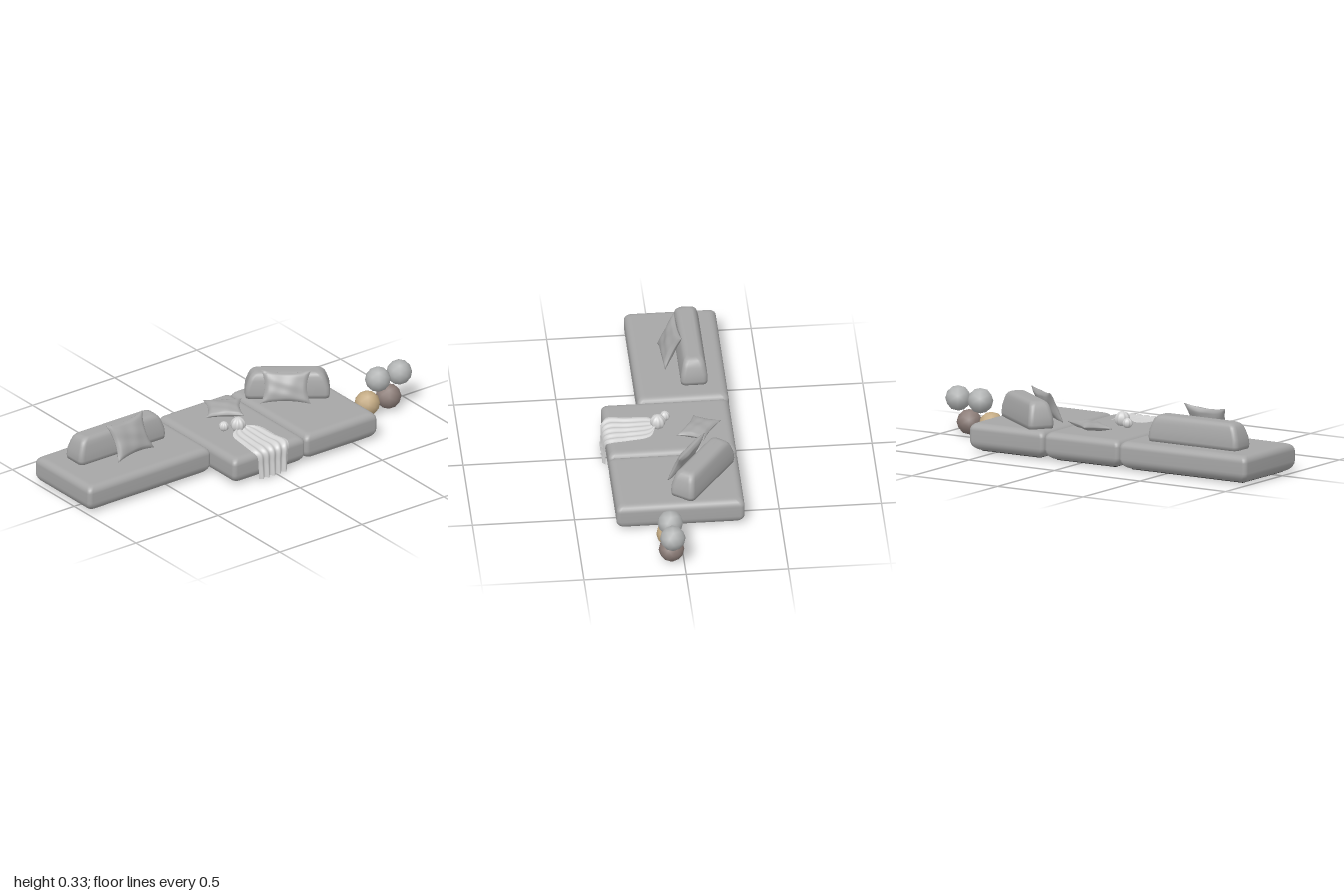
import * as THREE from 'three';
import { mergeVertices } from 'three/addons/utils/BufferGeometryUtils.js';

const mat = (name, color, side = THREE.FrontSide) => {
  const m = new THREE.MeshStandardMaterial({ color, side });
  m.name = name;
  return m;
};

// Stack of rounded rectangles; each profile row is [y, x inset, z inset]
function cushionGeometry(hw, hd, radius, profile) {
  const seg = 6, n = 4 * (seg + 1), pos = [], idx = [];
  for (const [y, ix, iz] of profile) {
    for (let c = 0; c < 4; c++) {
      const sx = c === 0 || c === 3 ? 1 : -1, sz = c < 2 ? 1 : -1;
      for (let k = 0; k <= seg; k++) {
        const a = (c + k / seg) * Math.PI / 2;
        pos.push(sx * (hw - ix - radius) + radius * Math.cos(a), y,
          sz * (hd - iz - radius) + radius * Math.sin(a));
      }
    }
  }
  const rows = profile.length;
  for (let j = 0; j < rows - 1; j++) {
    for (let i = 0; i < n; i++) {
      const a = j * n + i, b = j * n + (i + 1) % n;
      idx.push(a, a + n, b, b, a + n, b + n);
    }
  }
  pos.push(0, profile[0][0], 0, 0, profile[rows - 1][0], 0);
  const top = (rows - 1) * n;
  for (let i = 0; i < n; i++) {
    const k = (i + 1) % n;
    idx.push(rows * n, i, k, rows * n + 1, top + k, top + i);
  }
  const g = new THREE.BufferGeometry();
  g.setAttribute('position', new THREE.Float32BufferAttribute(pos, 3));
  g.setIndex(idx);
  g.computeVertexNormals();
  return g;
}

// Rounded side profile of a seat block
function seatProfile(y0, y1, rBottom, rTop) {
  const rows = [[y0, rBottom + 0.012, rBottom + 0.012]];
  for (const [cy, r, start] of [[y0 + rBottom, rBottom, -Math.PI / 2], [y1 - rTop, rTop, 0]]) {
    for (let k = 0; k <= 6; k++) {
      const a = start + k / 6 * Math.PI / 2, inset = r * (1 - Math.cos(a));
      rows.push([cy + r * Math.sin(a), inset, inset]);
    }
  }
  rows.push([y1, rTop + 0.012, rTop + 0.012]);
  return rows;
}

// Square pillow with pinched corners and soft creases
function pillowGeometry(hw, hh, thick) {
  const n = 18;
  const g = new THREE.BoxGeometry(2, 2, 2, n, n, 1);
  g.deleteAttribute('normal');
  g.deleteAttribute('uv');
  const p = g.attributes.position;
  for (let i = 0; i < p.count; i++) {
    const u = p.getX(i), v = p.getY(i), s = Math.sign(p.getZ(i));
    const puff = Math.sqrt(Math.max(0, (1 - u * u) * (1 - v * v)));
    const crease = 1 + 0.14 * Math.sin(5 * u + 3 * v) * Math.cos(4 * v - 2 * u);
    p.setXYZ(i, hw * u * (1 - 0.16 * (1 - v * v)), hh * v * (1 - 0.16 * (1 - u * u)),
      s * (0.002 + thick * Math.pow(puff, 0.8) * crease));
  }
  const m = mergeVertices(g, 1e-5);
  m.computeVertexNormals();
  return m;
}

// Pleated throw: path rows [z, y, half width, pleat depth]
function throwGeometry(path, folds) {
  const g = new THREE.PlaneGeometry(1, 1, folds * 10, 40);
  const curve = new THREE.CatmullRomCurve3(path.map(([z, y, w]) => new THREE.Vector3(w, y, z)));
  const p = g.attributes.position;
  for (let i = 0; i < p.count; i++) {
    const u = p.getX(i) * 2, t = 0.5 - p.getY(i);
    const c = curve.getPoint(t), d = curve.getTangent(t);
    const f = t * (path.length - 1), k = Math.min(Math.floor(f), path.length - 2);
    const depth = path[k][3] + (path[k + 1][3] - path[k][3]) * (f - k);
    const wave = depth * Math.cos(u * folds * Math.PI);
    const len = Math.hypot(d.y, d.z);
    p.setXYZ(i, c.x * u, c.y + wave * d.z / len, c.z - wave * d.y / len);
  }
  g.computeVertexNormals();
  return g;
}

// Ribbed pompom
function pompomGeometry(r) {
  const g = new THREE.SphereGeometry(r, 48, 16);
  const p = g.attributes.position;
  for (let i = 0; i < p.count; i++) {
    const s = 1 - 0.06 * (1 - Math.cos(8 * Math.atan2(p.getZ(i), p.getX(i))));
    p.setXYZ(i, p.getX(i) * s, p.getY(i), p.getZ(i) * s);
  }
  g.computeVertexNormals();
  return g;
}

export function createModel() {
  const group = new THREE.Group();
  const fabric = mat('greyFabric', 0xa6a6a6);
  const base = mat('darkBase', 0x222222);
  const knit = mat('lightKnit', 0xd2d2d2, THREE.DoubleSide);
  const grey = mat('greyBall', 0xb0b2b2);
  const tan = mat('tanBall', 0xc4ab84);
  const brown = mat('brownBall', 0x8c7d78);

  const add = (name, geometry, material, x, y, z, ry = 0, rx = 0, rz = 0) => {
    const m = new THREE.Mesh(geometry, material);
    m.name = name;
    m.position.set(x, y, z);
    m.rotation.set(rx, ry, rz, 'YXZ');
    group.add(m);
    return m;
  };

  // Seat blocks: [name, x0, x1, z0, z1]
  for (const [name, x0, x1, z0, z1] of [
    ['rightSeat', -1, -0.256, -0.325, 0.124],
    ['middleSeat', -0.254, 0.183, -0.322, 0.305],
    ['leftSeat', 0.185, 0.622, -0.322, 0.305],
  ]) {
    const hw = (x1 - x0) / 2, hd = (z1 - z0) / 2, x = (x0 + x1) / 2, z = (z0 + z1) / 2;
    add(name, cushionGeometry(hw, hd, 0.022, seatProfile(0.006, 0.142, 0.05, 0.035)), fabric, x, 0, z);
    add(name + 'Base', new THREE.BoxGeometry((hw - 0.048) * 2, 0.005, (hd - 0.048) * 2), base, x, 0.005, z);
  }

  // Tapered backrests
  const backProfile = [
    [0, 0.004, 0.002], [0.02, 0, 0], [0.055, 0.004, 0.002], [0.09, 0.016, 0.009],
    [0.11, 0.025, 0.014], [0.122, 0.036, 0.021], [0.129, 0.05, 0.031], [0.131, 0.062, 0.038],
  ];
  add('rightBackrest', cushionGeometry(0.2625, 0.066, 0.025, backProfile), fabric, -0.622, 0.141, -0.165);
  add('leftBackrest', cushionGeometry(0.208, 0.066, 0.025, backProfile), fabric, 0.4, 0.141, -0.135, -0.63);

  // Pillows
  add('rightPillow', pillowGeometry(0.115, 0.095, 0.024), fabric, -0.61, 0.235, -0.065, 0.05, -0.45, 0.04);
  add('leftPillow', pillowGeometry(0.122, 0.082, 0.022), fabric, 0.335, 0.224, -0.06, -0.6, -0.42, -0.03);
  add('lyingPillow', pillowGeometry(0.092, 0.075, 0.02), fabric, 0.025, 0.166, -0.15, -0.55, -1.45);

  // Pleated throw hanging over the middle seat, with pompoms
  add('throwBlanket', throwGeometry([
    [0.06, 0.168, 0.02, 0.001], [0.09, 0.156, 0.08, 0.002], [0.2, 0.15, 0.097, 0.004],
    [0.285, 0.149, 0.107, 0.004], [0.311, 0.13, 0.095, 0.004], [0.315, 0.07, 0.088, 0.005],
    [0.317, 0.003, 0.085, 0.008],
  ], 5), knit, -0.022, 0, 0);
  add('largePompom', pompomGeometry(0.038), knit, -0.035, 0.173, 0.045);
  add('smallPompom', pompomGeometry(0.025), knit, -0.092, 0.164, 0.005);

  // Stacked balls beside the seats
  const ball = new THREE.IcosahedronGeometry(0.063, 1);
  for (const [name, m, x, y] of [
    ['tanBall', tan, 0.74, 0.062], ['brownBall', brown, 0.869, 0.062],
    ['upperInnerBall', grey, 0.805, 0.173], ['upperOuterBall', grey, 0.935, 0.173],
  ]) add(name, ball, m, x, y, 0.06);

  return group;
}
